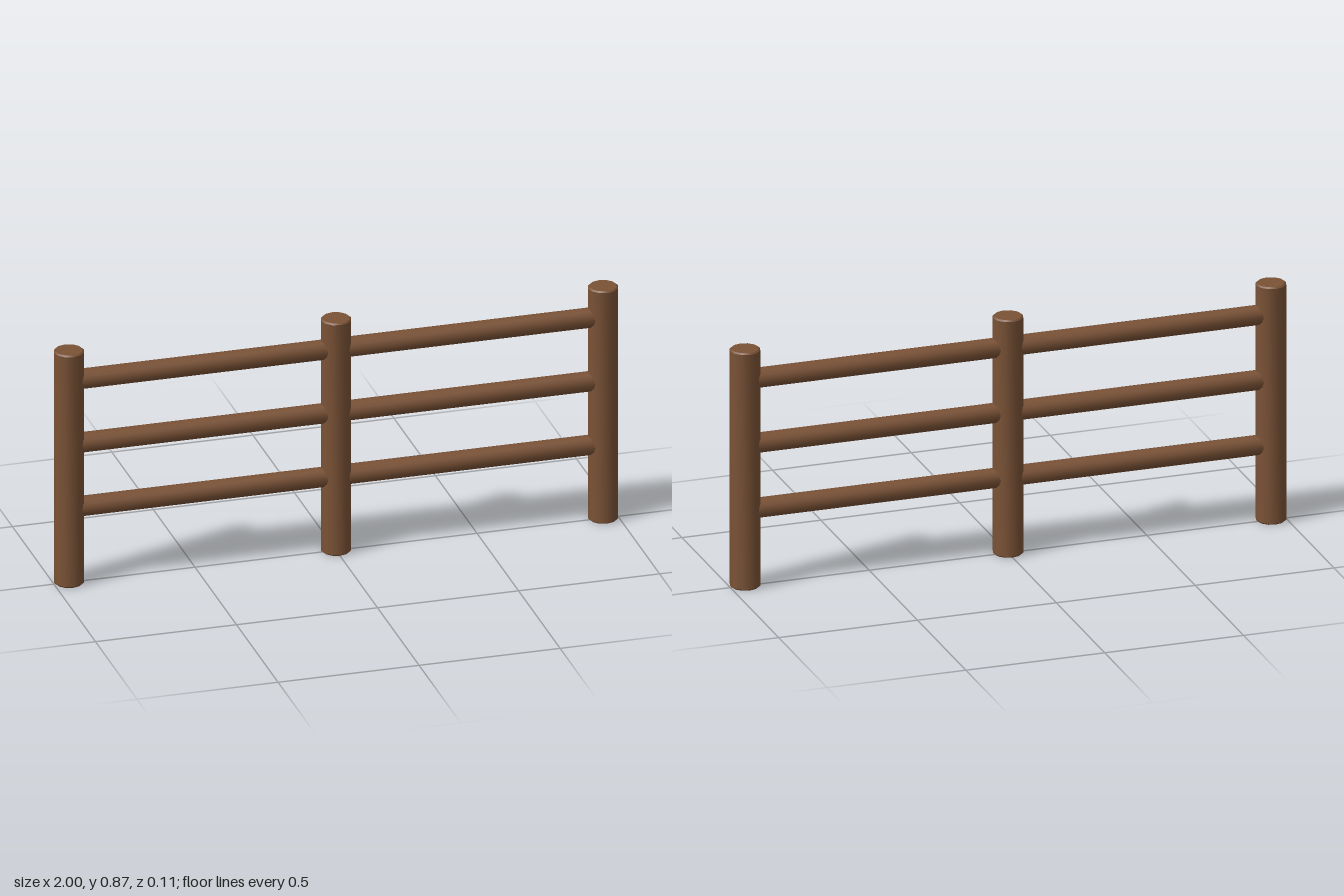
import * as THREE from 'three';
import { toCreasedNormals } from 'three/addons/utils/BufferGeometryUtils.js';

// Round log standing on y = 0, with a small chamfer at both ends
function logGeometry(radius, length, chamfer, sides) {
  const profile = [
    [0, 0], [radius - chamfer, 0], [radius, chamfer],
    [radius, length - chamfer], [radius - chamfer, length], [0, length],
  ].map(([x, y]) => new THREE.Vector2(x, y));
  return toCreasedNormals(new THREE.LatheGeometry(profile, sides), 0.7);
}

export function createModel() {
  const fence = new THREE.Group();
  fence.name = 'fence';
  const wood = new THREE.MeshStandardMaterial({ color: 0x7a5236 });
  wood.name = 'brown wood';

  const postRadius = 0.053, postHeight = 0.866;
  const spacing = 1 - postRadius;

  // Three upright posts
  const postGeometry = logGeometry(postRadius, postHeight, 0.005, 12);
  ['rightPost', 'middlePost', 'leftPost'].forEach((name, i) => {
    const post = new THREE.Mesh(postGeometry, wood);
    post.name = name;
    post.position.x = (i - 1) * spacing;
    fence.add(post);
  });

  // Three rails in each bay, ending inside the posts
  const railLength = spacing - 0.04;
  const railGeometry = logGeometry(0.035, railLength, 0.003, 12);
  railGeometry.translate(0, -railLength / 2, 0);
  railGeometry.rotateZ(Math.PI / 2);
  for (const side of [-1, 1]) {
    [['lower', 0.279], ['middle', 0.516], ['upper', 0.753]].forEach(([level, y]) => {
      const rail = new THREE.Mesh(railGeometry, wood);
      rail.name = `${level}${side < 0 ? 'Right' : 'Left'}Rail`;
      rail.position.set(side * spacing / 2, y, 0);
      fence.add(rail);
    });
  }
  return fence;
}
